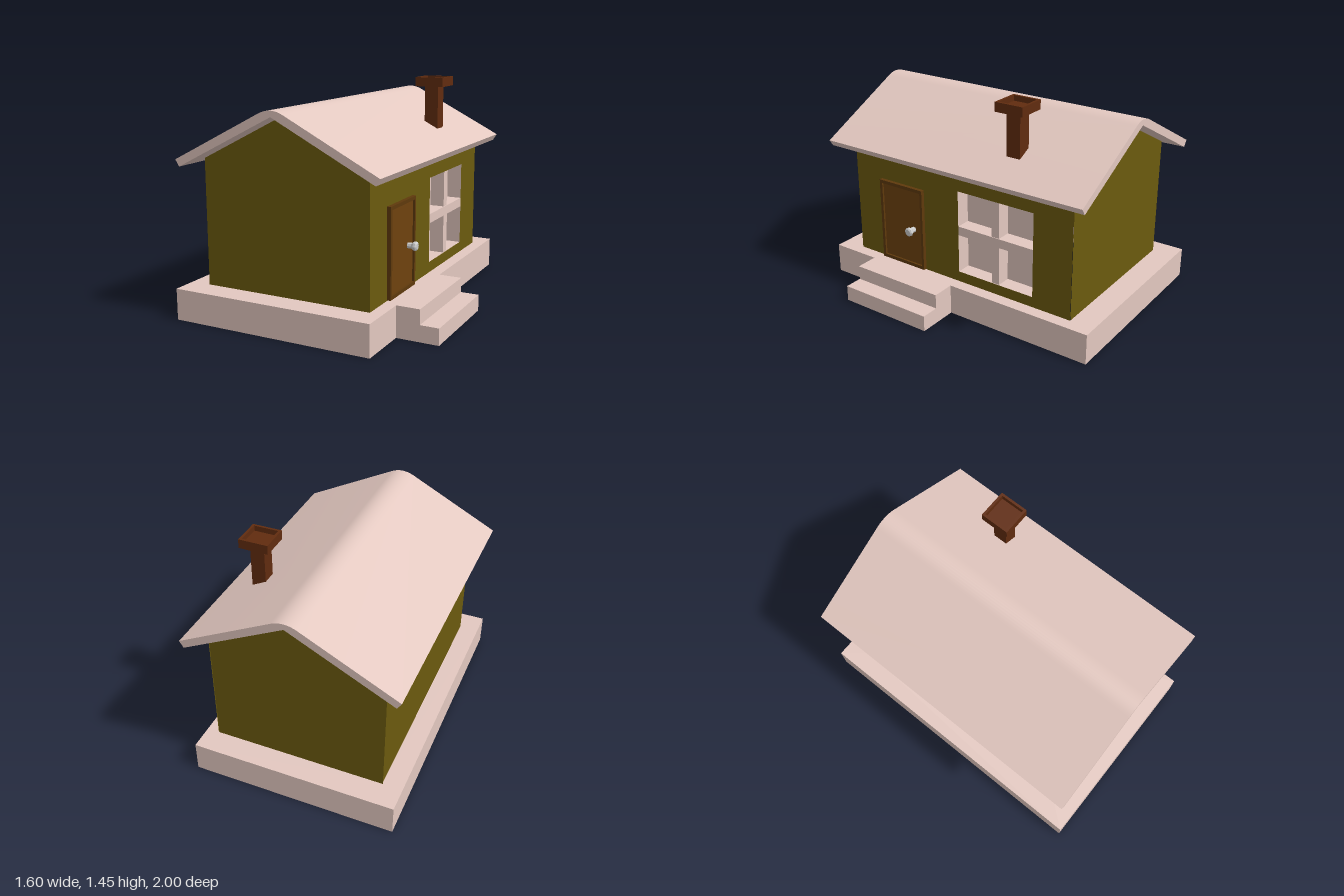
import * as THREE from 'three';
import { toCreasedNormals } from 'three/addons/utils/BufferGeometryUtils.js';

const paint = (color) => new THREE.MeshStandardMaterial({ color, side: THREE.DoubleSide });
const PINK = paint(0xe3c8c0), OLIVE = paint(0x6b5a0e), FRAME = paint(0x5f390c);
const DOOR = paint(0x6e420e), BRICK = paint(0x612c0f), METAL = new THREE.MeshStandardMaterial({ color: 0xcccccc });

const V = (x, y, z) => new THREE.Vector3(x, y, z);
const shapeOf = (pts) => new THREE.Shape(pts.map(([x, y]) => new THREE.Vector2(x, y)));
const rect = (x0, y0, x1, y1) => [[x0, y0], [x1, y0], [x1, y1], [x0, y1]];

function holed(outer, hole) {
  const s = shapeOf(outer);
  s.holes.push(shapeOf(hole));
  return s;
}

// Strip of flat faces following a 2D path, from depth a to depth b
function ribbon(path, a, b, place) {
  const pos = [];
  for (let i = 0; i < path.length - 1; i++) {
    const [p, q] = [path[i], path[i + 1]];
    const c = [place(p, a), place(q, a), place(q, b), place(p, b)];
    for (const k of [0, 1, 2, 0, 2, 3]) pos.push(...c[k].toArray());
  }
  const g = new THREE.BufferGeometry();
  g.setAttribute('position', new THREE.Float32BufferAttribute(pos, 3));
  g.computeVertexNormals();
  return g;
}

const alongX = ([z, y], x) => V(x, y, z);
const alongY = ([x, z], y) => V(x, y, z);
const alongZ = ([x, y], z) => V(x, y, z);

export function createModel() {
  const root = new THREE.Group();
  const group = (name) => {
    const g = new THREE.Group();
    g.name = name;
    root.add(g);
    return g;
  };
  const add = (parent, name, geo, mat) => {
    const m = new THREE.Mesh(geo, mat);
    m.name = name;
    parent.add(m);
    return m;
  };
  const box = (parent, name, [x0, x1], [y0, y1], [z0, z1], mat) => {
    const m = add(parent, name, new THREE.BoxGeometry(x1 - x0, y1 - y0, z1 - z0), mat);
    m.position.set((x0 + x1) / 2, (y0 + y1) / 2, (z0 + z1) / 2);
    return m;
  };
  // Extrude a shape drawn in (-z, y) outwards along +x
  const facingX = (geo, x) => geo.rotateY(Math.PI / 2).translate(x, 0, 0);

  // Foundation: hollow below, with an opening under the house
  const L = -0.67, R = 0.45, Z = 0.84, FLOOR = 0.2, EAVE = 1.0, RIDGE = -0.112;
  const base = group('foundation');
  const ledge = new THREE.ShapeGeometry(holed(rect(-0.8, -1, 0.53, 1), rect(L, -Z, R, Z)));
  add(base, 'foundationTop', ledge.rotateX(-Math.PI / 2).translate(0, FLOOR, 0), PINK);
  const around = [[0.53, 0.66], [0.53, 1], [-0.8, 1], [-0.8, -1], [0.53, -1], [0.53, 0]];
  add(base, 'foundationSides', ribbon(around, 0, FLOOR, alongY), PINK);

  // Two entrance steps
  const steps = group('steps');
  const stair = [[0.53, FLOOR], [0.68, FLOOR], [0.68, 0.105], [0.8, 0.105], [0.8, 0]];
  add(steps, 'treads', ribbon(stair, 0.66, 0, alongZ), PINK);
  for (const z of [0, 0.66]) {
    const side = new THREE.ShapeGeometry(shapeOf([...stair, [0.53, 0]]));
    if (z === 0) side.scale(1, 1, -1);
    add(steps, 'stepSide', side.translate(0, 0, z), PINK);
  }

  // House walls: two gables, plain left side, window side, ceiling
  const house = group('house');
  const gable = [[L, FLOOR], [R, FLOOR], [R, EAVE], [RIDGE, 1.283], [L, EAVE]];
  for (const z of [-Z, Z]) {
    const g = new THREE.ShapeGeometry(shapeOf(gable));
    if (z < 0) g.translate(-RIDGE, 0, 0).rotateY(Math.PI).translate(RIDGE, 0, 0);
    add(house, 'gableWall', g.translate(0, 0, z), OLIVE);
  }
  add(house, 'ceiling', ribbon([gable[2], gable[3], gable[4]], Z, -Z, alongZ), OLIVE);
  add(house, 'plainWall', ribbon([[L, EAVE], [L, FLOOR]], Z, -Z, alongZ), OLIVE);
  const opening = rect(0.01, 0.27, 0.57, 0.83);
  const front = new THREE.ShapeGeometry(holed(rect(-Z, FLOOR, Z, EAVE), opening));
  add(house, 'windowWall', facingX(front, R), OLIVE);

  // Recessed window with crossing bars
  const win = group('window');
  const back = R - 0.1;
  const rim = rect(-0.57, 0.27, -0.01, 0.83);
  add(win, 'windowLining', ribbon([...rim, rim[0]], R, back, alongX), PINK);
  add(win, 'windowBack', facingX(new THREE.ShapeGeometry(shapeOf(opening)), back), PINK);
  box(win, 'uprightBar', [back, R - 0.005], [0.27, 0.83], [-0.32, -0.265], PINK);
  box(win, 'crossBar', [back, R], [0.53, 0.59], [-0.57, -0.01], PINK);

  // Door with raised frame and round knob
  const door = group('door');
  const frame = holed(rect(-0.62, 0.205, -0.265, 0.77), rect(-0.6, 0.228, -0.282, 0.748));
  add(door, 'doorFrame', facingX(new THREE.ExtrudeGeometry(frame, { depth: 0.025, bevelEnabled: false }), R), FRAME);
  box(door, 'doorPanel', [R - 0.005, R + 0.012], [0.228, 0.748], [0.282, 0.6], DOOR);
  const knobProfile = [[0.019, 0], [0.019, 0.03], [0.03, 0.045], [0.03, 0.058], [0.02, 0.065], [0, 0.065]];
  const knobGeo = new THREE.LatheGeometry(knobProfile.map(([r, h]) => new THREE.Vector2(r, h)), 8);
  const knob = add(door, 'doorKnob', toCreasedNormals(knobGeo, 0.4), METAL);
  knob.rotation.z = -Math.PI / 2;
  knob.position.set(R + 0.01, 0.475, 0.35);

  // Roof slab with a rounded ridge
  const roofShape = new THREE.Shape();
  roofShape.moveTo(-0.77, 0.958);
  roofShape.lineTo(RIDGE, 1.29);
  roofShape.lineTo(0.545, 0.958);
  roofShape.lineTo(0.572, 1.0);
  roofShape.lineTo(-0.03, 1.306);
  roofShape.quadraticCurveTo(RIDGE, 1.348, -0.194, 1.306);
  roofShape.lineTo(-0.797, 1.0);
  roofShape.closePath();
  const roofGeo = new THREE.ExtrudeGeometry(roofShape, { depth: 1.92, bevelEnabled: false, curveSegments: 10 });
  add(group('roof'), 'roofSlab', toCreasedNormals(roofGeo.translate(0, 0, -0.96), 0.5), PINK);

  // Chimney with a hollow cap
  const chimney = group('chimney');
  box(chimney, 'chimneyShaft', [0.275, 0.368], [1.1, 1.405], [-0.415, -0.32], BRICK);
  const cap = holed(rect(0.226, 0.27, 0.418, 0.462), rect(0.242, 0.286, 0.402, 0.446));
  const capGeo = new THREE.ExtrudeGeometry(cap, { depth: 0.06, bevelEnabled: false });
  add(chimney, 'chimneyCap', capGeo.rotateX(-Math.PI / 2).translate(0, 1.385, 0), BRICK);
  box(chimney, 'capFloor', [0.242, 0.402], [1.385, 1.41], [-0.446, -0.286], BRICK);

  return root;
}
